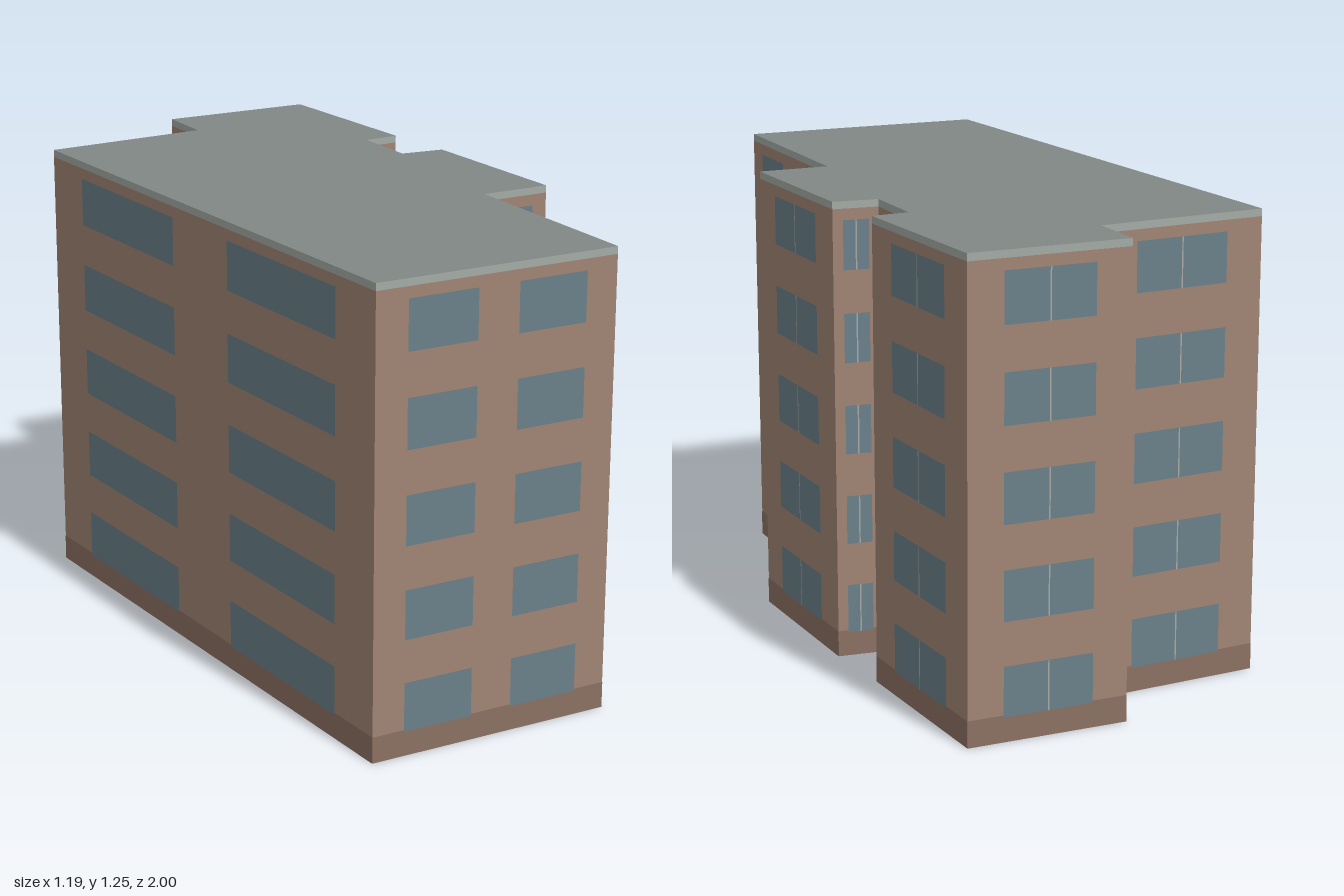
import * as THREE from 'three';
import { mergeGeometries } from 'three/addons/utils/BufferGeometryUtils.js';

const HEIGHT = 1.255, TRIM_Y = 1.235, BASE_Y = 0.072;
const FLOORS = 5, FLOOR_STEP = 0.251, SILL = 0.067, WINDOW_H = 0.134;

// Footprint corners [x, z], clockwise seen from above
const outline = [
  [0.26, -1], [0.4, -0.495], [0.3, -0.467], [0.343, -0.27], [0.468, -0.284], [0.592, 0.206],
  [0.397, 0.25], [0.525, 0.852], [-0.158, 0.995], [-0.597, -0.608], [-0.136, -0.738], [-0.172, -0.908],
];

// Upright panel on wall a-b, from fraction t0 to t1, pushed outwards by off
function panel([ax, az], [bx, bz], t0, t1, y0, y1, off) {
  const dx = bx - ax, dz = bz - az, len = Math.hypot(dx, dz), t = (t0 + t1) / 2;
  return new THREE.PlaneGeometry(len * (t1 - t0), y1 - y0)
    .rotateY(Math.atan2(dz, -dx))
    .translate(ax + dx * t + (dz / len) * off, (y0 + y1) / 2, az + dz * t - (dx / len) * off);
}

export function createModel() {
  const group = new THREE.Group();
  const add = (name, color, geometry, side = THREE.FrontSide) => {
    const mesh = new THREE.Mesh(geometry, new THREE.MeshStandardMaterial({ color, side }));
    mesh.name = name;
    group.add(mesh);
  };

  const walls = [], base = [], trim = [], windows = [], mullions = [];
  outline.forEach((a, i) => {
    const b = outline[(i + 1) % outline.length];
    const len = Math.hypot(b[0] - a[0], b[1] - a[1]);
    walls.push(panel(a, b, 0, 1, 0, TRIM_Y, 0));
    base.push(panel(a, b, 0, 1, 0, BASE_Y, 0.001));
    trim.push(panel(a, b, 0, 1, TRIM_Y, HEIGHT, 0));

    // Long walls carry two separate windows, short ones a pair around a mullion
    const long = len > 0.6;
    const edge = len > 1 ? 0.104 : 0.13;
    const spans = long ? [[edge, 0.415], [0.585, 1 - edge]] : [[0.22, 0.5], [0.5, 0.78]];
    for (let f = 0; f < FLOORS; f++) {
      const y0 = SILL + f * FLOOR_STEP, y1 = y0 + WINDOW_H;
      for (const [t0, t1] of spans) windows.push(panel(a, b, t0, t1, y0, y1, 0.002));
      if (!long) {
        const h = 0.002 / len;
        mullions.push(panel(a, b, 0.5 - h, 0.5 + h, y0, y1, 0.003));
      }
    }
  });

  // Open-bottomed shell with flush bands
  add('walls', 0xa08474, mergeGeometries(walls), THREE.DoubleSide);
  add('baseBand', 0x8b7062, mergeGeometries(base));
  add('roofTrim', 0xa3aaa5, mergeGeometries(trim), THREE.DoubleSide);
  add('windows', 0x6a808a, mergeGeometries(windows));
  add('mullions', 0xa9a8a2, mergeGeometries(mullions));

  // Flat roof
  const shape = new THREE.Shape(outline.map(([x, z]) => new THREE.Vector2(x, -z)));
  const roof = new THREE.ShapeGeometry(shape).rotateX(-Math.PI / 2).translate(0, HEIGHT, 0);
  add('roof', 0x808884, roof, THREE.DoubleSide);

  return group;
}
